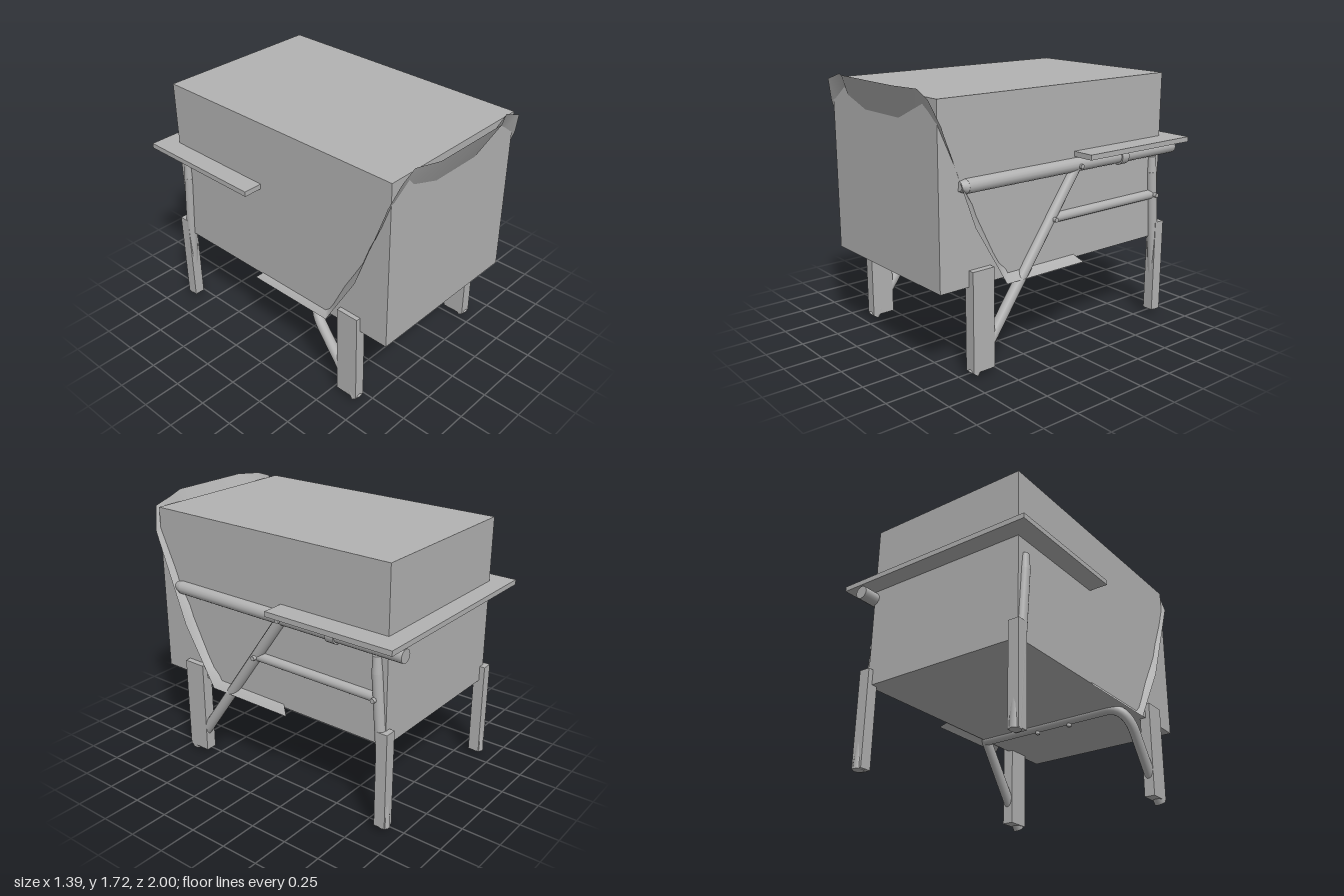
import * as THREE from 'three';

export function createModel() {
  const root = new THREE.Group();
  const grey = new THREE.MeshStandardMaterial({ color: 0xb2b2b2 });
  grey.name = 'plain grey';
  const greySheet = grey;
  greySheet.side = THREE.DoubleSide;
  const V = (x, y, z) => new THREE.Vector3(x, y, z);

  function add(name, geometry) {
    const mesh = new THREE.Mesh(geometry, grey);
    mesh.name = name;
    root.add(mesh);
    return mesh;
  }
  // box given by its lower and upper limits
  function block(name, x0, x1, y0, y1, z0, z1) {
    const g = new THREE.BoxGeometry(x1 - x0, y1 - y0, z1 - z0);
    add(name, g).position.set((x0 + x1) / 2, (y0 + y1) / 2, (z0 + z1) / 2);
  }
  // round bar between two points
  function bar(name, a, b, r, rEnd = r, sides = 16) {
    const mesh = add(name, new THREE.CylinderGeometry(rEnd, r, a.distanceTo(b), sides));
    mesh.position.copy(a).add(b).multiplyScalar(0.5);
    mesh.quaternion.setFromUnitVectors(V(0, 1, 0), b.clone().sub(a).normalize());
  }

  // main body, desk board and the four square leg blocks
  block('body', -0.575, 0.545, 0.57, 1.67, -0.88, 0.9);
  block('deskBoard', -0.7, 0.69, 1.22, 1.253, -1, -0.11);
  for (const [x0, x1] of [[-0.605, -0.535], [0.51, 0.585]]) {
    block('frontLegBlock', x0, x1, 0.04, 0.67, 0.545, 0.7);
    block('backLegBlock', x0, x1, 0.04, 0.67, -0.915, -0.84);
  }

  // side frame on the left
  bar('armTube', V(0.55, 1.17, 0.72), V(0.55, 1.17, -0.995), 0.043);
  bar('armTip', V(0.55, 1.17, 0.72), V(0.55, 1.175, 0.765), 0.043, 0.028);
  bar('frontLegTube', V(0.55, 0.025, 0.68), V(0.55, 1.17, -0.125), 0.035);
  bar('sideRail', V(0.55, 0.865, 0.08), V(0.55, 0.865, -0.82), 0.031);
  bar('armClamp', V(0.55, 1.168, -0.48), V(0.55, 1.168, -0.54), 0.052);
  for (const [y, z] of [[1.165, -0.125], [0.865, 0.08], [0.865, -0.82]]) {
    bar('bolt', V(0.545, y, z), V(0.605, y, z), 0.018, 0.015, 8);
  }

  // back legs, narrowing at the top
  for (const x of [-0.572, 0.55]) {
    bar('backLegTube', V(x, 0.035, -0.895), V(x, 1.02, -0.815), 0.034);
    bar('backLegTop', V(x, 1.02, -0.815), V(x, 1.125, -0.81), 0.034, 0.026);
  }

  // cross tube under the seat, bending down into the right front leg
  const path = new THREE.CurvePath();
  path.add(new THREE.LineCurve3(V(0.545, 0.572, 0.285), V(-0.42, 0.572, 0.285)));
  path.add(new THREE.QuadraticBezierCurve3(
    V(-0.42, 0.572, 0.285), V(-0.565, 0.572, 0.285), V(-0.57, 0.43, 0.39)));
  path.add(new THREE.LineCurve3(V(-0.57, 0.43, 0.39), V(-0.57, 0.06, 0.655)));
  add('crossTube', new THREE.TubeGeometry(path, 60, 0.034, 14));
  bar('rightFoot', V(-0.572, 0.025, 0.68), V(-0.57, 0.08, 0.641), 0.036);
  for (const x of [-0.145, 0.105]) {
    bar('seatBolt', V(x, 0.522, 0.285), V(x, 0.56, 0.285), 0.016, 0.016, 8);
  }

  // thin seat shell: each row holds [y, z] at the rim, shoulder, hollow and middle
  const cols = [0.595, 0.54, 0.42, 0.28];
  const rows = [
    [[1.525, 0.9], [1.67, 0.945], [1.712, 0.932], [1.72, 0.995]],
    [[1.5, 0.892], [1.53, 0.895], [1.53, 0.862], [1.52, 0.9]],
    [[1.2, 0.78], [1.2, 0.745], [1.2, 0.72], [1.2, 0.72]],
    [[0.93, 0.68], [1.0, 0.63], [1.0, 0.6], [1.0, 0.6]],
    [[0.66, 0.52], [0.67, 0.465], [0.69, 0.45], [0.69, 0.45]],
    [[0.54, 0.45], [0.61, 0.4], [0.61, 0.39], [0.61, 0.39]],
    [[0.54, -0.17], [0.61, -0.1], [0.61, -0.1], [0.61, -0.1]],
  ];
  const pos = [], index = [], n = cols.length * 2;
  rows.forEach((row, r) => {
    for (let i = 0; i < n; i++) {
      const c = i < 4 ? i : n - 1 - i;
      const shrink = r === 1 && c === 3 ? 0.1 : 0; // hollow narrows below the top edge
      pos.push((i < 4 ? -1 : 1) * (cols[c] - shrink) - 0.01, ...row[c]);
      if (r && i) {
        const a = (r - 1) * n + i - 1, b = r * n + i - 1;
        index.push(a, b, a + 1, b, b + 1, a + 1);
      }
    }
  });
  const shell = new THREE.BufferGeometry();
  shell.setAttribute('position', new THREE.Float32BufferAttribute(pos, 3));
  shell.setIndex(index);
  shell.computeVertexNormals();
  add('seatShell', shell);

  return root;
}
